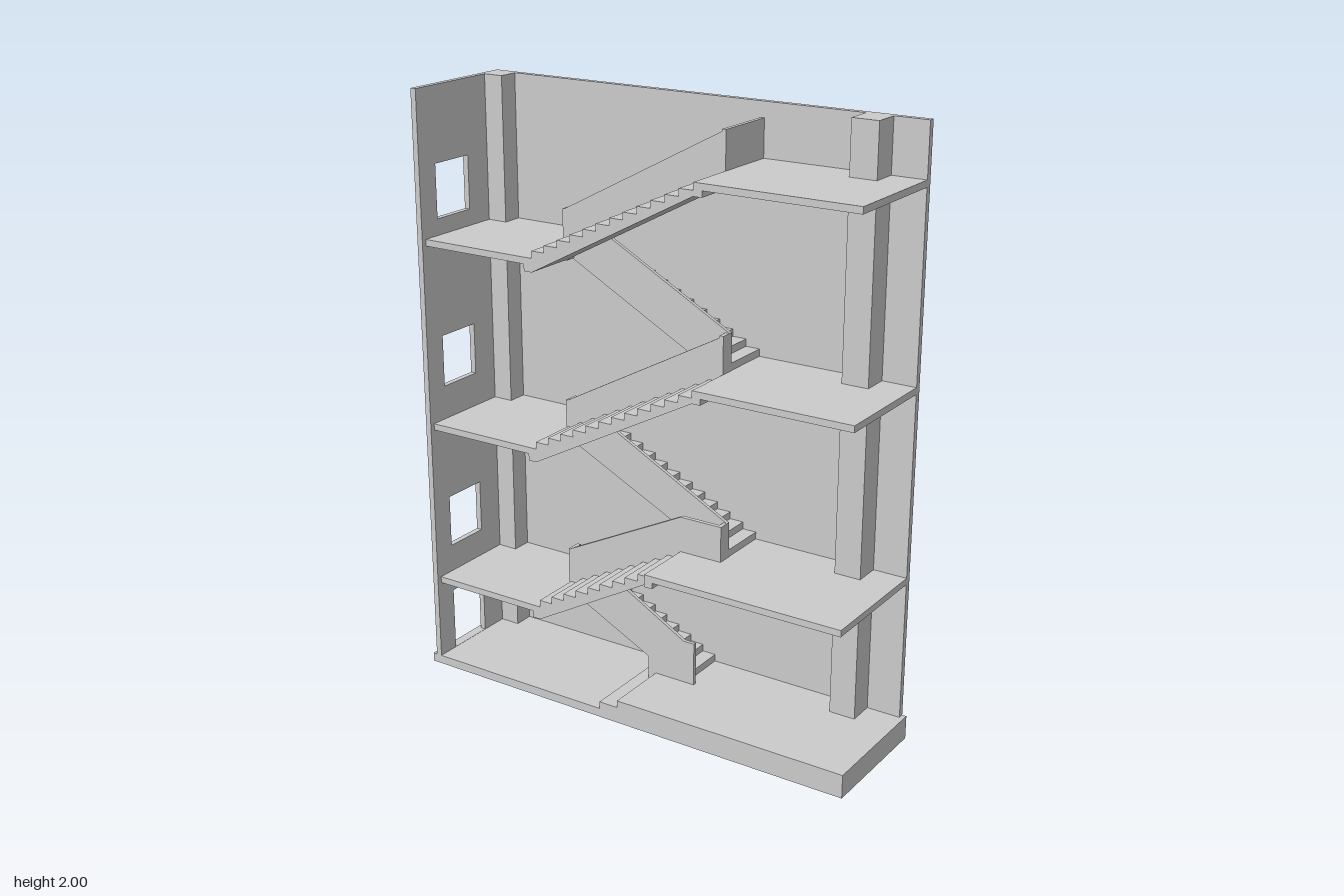
import * as THREE from 'three';

const material = new THREE.MeshStandardMaterial({ color: 0xcccccc, flatShading: true });
const WALL = -0.205;   // inner face of the back wall
const XL = -0.35;      // stair edge of the half landings
const XR = 0.24;       // stair edge of the upper floors

export function createModel() {
  const group = new THREE.Group();

  const add = (name, geometry) => {
    const mesh = new THREE.Mesh(geometry, material);
    mesh.name = name;
    group.add(mesh);
    return mesh;
  };

  // Box given by its limits on each axis
  const box = (name, x0, x1, y0, y1, z0, z1) => {
    const mesh = add(name, new THREE.BoxGeometry(x1 - x0, y1 - y0, z1 - z0));
    mesh.position.set((x0 + x1) / 2, (y0 + y1) / 2, (z0 + z1) / 2);
  };

  const shapeOf = (points) => new THREE.Shape(points.map(([x, y]) => new THREE.Vector2(x, y)));

  // Side profile (x, y) extruded from z0 to z1
  const plate = (name, points, z0, z1) => {
    const geometry = new THREE.ExtrudeGeometry(shapeOf(points), { depth: z1 - z0, bevelEnabled: false });
    add(name, geometry.translate(0, 0, z0));
  };

  // Stepped flight climbing from (x0, y0) to (x1, y1); under lists the soffit from top to bottom
  const flight = (name, [x0, y0], [x1, y1], risers, under, z0, z1) => {
    const points = [];
    for (let i = 0; i < risers; i++) {
      const x = x0 + ((x1 - x0) * i) / (risers - 1);
      points.push([x, y0 + ((y1 - y0) * i) / risers], [x, y0 + ((y1 - y0) * (i + 1)) / risers]);
    }
    plate(name, [...points, ...under], z0, z1);
  };

  // Base: low entrance floor, one step and the raised floor
  plate('base', [[-0.81, 0], [0.8, 0], [0.8, 0.08], [-0.03, 0.08], [-0.03, 0.055],
    [-0.1, 0.055], [-0.1, 0.03], [-0.81, 0.03]], -0.225, 0.207);

  // Walls: plain back wall, end wall with a door and three windows
  box('backWall', -0.795, 0.785, 0.001, 2, -0.2255, WALL);
  const endWall = shapeOf([[WALL, 0.02], [0.207, 0.02], [0.207, 2], [WALL, 2]]);
  for (const [bottom, top] of [[0.031, 0.25], [0.42, 0.6], [1.0, 1.175], [1.57, 1.75]]) {
    endWall.holes.push(shapeOf([[-0.035, bottom], [-0.035, top], [0.128, top], [0.128, bottom]]));
  }
  add('endWall', new THREE.ExtrudeGeometry(endWall, { depth: 0.02, bevelEnabled: false })
    .rotateY(-Math.PI / 2).translate(-0.775, 0, 0));

  // Columns against the back wall
  box('cornerColumn', -0.775, -0.705, 0.03, 2, WALL, -0.135);
  box('wallColumn', 0.58, 0.67, 0.08, 2, WALL, -0.115);

  const landings = [0.325, 0.885, 1.515];
  const floors = [0.57, 1.197, 1.827];
  const railStart = [0.47, 1.0, 1.637];
  const railEnd = [0.69, 1.32, 1.95];
  const backZ = [WALL, -0.035];
  const backRailZ = [-0.035, -0.022];
  const frontRailZ = [0, 0.015];

  landings.forEach((low, i) => {
    const high = floors[i];
    const edge = i === 0 ? 0.09 : XR;
    const front = i === 0 ? 0.225 : 0.19;

    // Slabs, each with an edge beam at the stairs
    plate('halfLanding', [[-0.775, low], [XL, low], [XL, low - 0.045], [-0.38, low - 0.045],
      [-0.38, low - 0.022], [-0.775, low - 0.022]], WALL, 0.19);
    plate('floor', [[edge, high], [0.785, high], [0.785, high - 0.022], [edge + 0.03, high - 0.022],
      [edge + 0.03, high - 0.042], [edge, high - 0.042]], WALL, front);

    // Front flight from the half landing to the floor, with its solid parapet
    const under = [[edge, high - 0.042], [XL, low - 0.045]];
    flight('frontFlight', [XL, low], [edge, high], i === 0 ? 10 : 13, under, 0, 0.19);
    const flat = i === 0 ? [[XR, railEnd[i]], [XR, high - 0.01]] : [];
    plate('frontParapet', [[XL, low - 0.03], [XL, railStart[i]], [edge, railEnd[i]],
      ...flat, [edge, high - 0.03]], ...frontRailZ);

    // Back flight from the floor below to the half landing, with its parapet
    if (i === 0) {
      const soffit = [[XL, 0.28], [-0.06, 0.135], [-0.06, 0.03], [0.09, 0.03]];
      flight('backFlight', [0.09, 0.08], [XL, low], 10, soffit, ...backZ);
      plate('backParapet', [...soffit, [0.12, 0.03], [0.12, 0.23], [0.08, 0.23],
        [XL, railStart[0]]], ...backRailZ);
    } else {
      const below = floors[i - 1];
      const soffit = [[XL, low - 0.045], [XR, below - (i === 1 ? 0.02 : 0.042)]];
      flight('backFlight', [XR, below], [XL, low], 13, soffit, ...backZ);
      plate('backParapet', [...soffit, [XR, railEnd[i - 1]], [XL, railStart[i]]], ...backRailZ);
    }

    // Parapet returns joining both sides; the top one reaches the back wall
    box('landingReturn', XL - 0.007, XL + 0.007, low - 0.045, railStart[i], -0.035, 0.015);
    box('floorReturn', XR - 0.013, XR + 0.001, high - 0.02, railEnd[i],
      i === 2 ? WALL : -0.035, 0.015);
  });

  return group;
}
